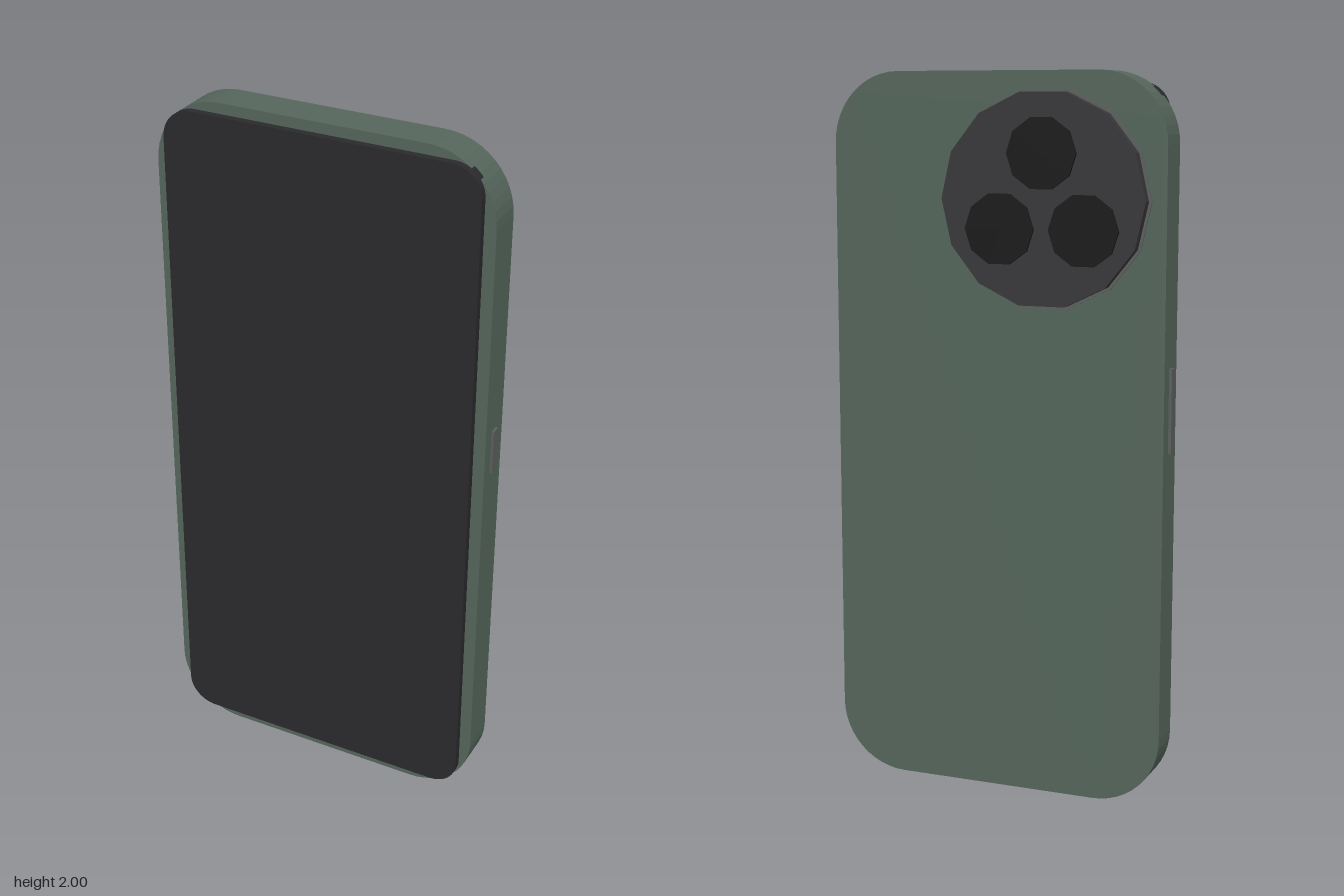
import * as THREE from 'three';

const mat = (color) => new THREE.MeshStandardMaterial({ color, flatShading: true });
const green = mat(0x55665b), glass = mat(0x2a2a2e), dark = mat(0x38383b);
const black = mat(0x1a1a1a), metal = mat(0x5c605d);

function add(group, name, geometry, material, x = 0, y = 0, z = 0) {
  const mesh = new THREE.Mesh(geometry, material);
  mesh.name = name;
  mesh.position.set(x, y, z);
  group.add(mesh);
  return mesh;
}

// Upright rounded slab, centred on x and y, its back at z = 0
function slab(w, h, r, depth, segments) {
  const s = new THREE.Shape();
  const x = w / 2 - r, y = h / 2 - r;
  s.absarc(x, y, r, 0, Math.PI / 2);
  s.absarc(-x, y, r, Math.PI / 2, Math.PI);
  s.absarc(-x, -y, r, Math.PI, Math.PI * 1.5);
  s.absarc(x, -y, r, Math.PI * 1.5, Math.PI * 2);
  return new THREE.ExtrudeGeometry(s, { depth, bevelEnabled: false, curveSegments: segments });
}

// Faceted disc facing z, with a corner at each end of its x axis
function disc(r, depth, sides) {
  return new THREE.CylinderGeometry(r, r, depth, sides, 1, false, Math.PI / 2).rotateX(Math.PI / 2);
}

export function createModel() {
  const phone = new THREE.Group();
  phone.name = 'phone';

  // Case and front glass
  add(phone, 'body', slab(0.956, 1.985, 0.19, 0.105, 6), green, 0, 1.0075, -0.045);
  add(phone, 'screen', slab(0.89, 1.922, 0.082, 0.037, 6), glass, 0, 1.01, 0.044);

  // Camera bump with three lenses on the back
  const camera = new THREE.Group();
  camera.name = 'cameraBump';
  camera.position.set(-0.142, 1.663, 0);
  phone.add(camera);
  add(camera, 'bumpRim', disc(0.296, 0.013, 14), metal, 0, 0, -0.0425);
  add(camera, 'bumpPlate', disc(0.288, 0.045, 14), dark, 0, 0, -0.0535);
  for (const [x, y] of [[0, 0.122], [-0.119, -0.078], [0.119, -0.078]]) {
    add(camera, 'lens', disc(0.098, 0.03, 10), black, x, y, -0.069);
  }

  // Side buttons
  add(phone, 'leftButton', new THREE.BoxGeometry(0.03, 0.125, 0.028), metal, 0.47, 1.167, 0.01);
  add(phone, 'rightButton', new THREE.BoxGeometry(0.03, 0.23, 0.028), metal, -0.471, 1.108, 0.01);

  // Charging port on the underside
  add(phone, 'port', new THREE.BoxGeometry(0.1, 0.035, 0.034), black, 0, 0.0215, 0.012);
  phone.getObjectByName('port').position.y = 0.0175;

  return phone;
}
